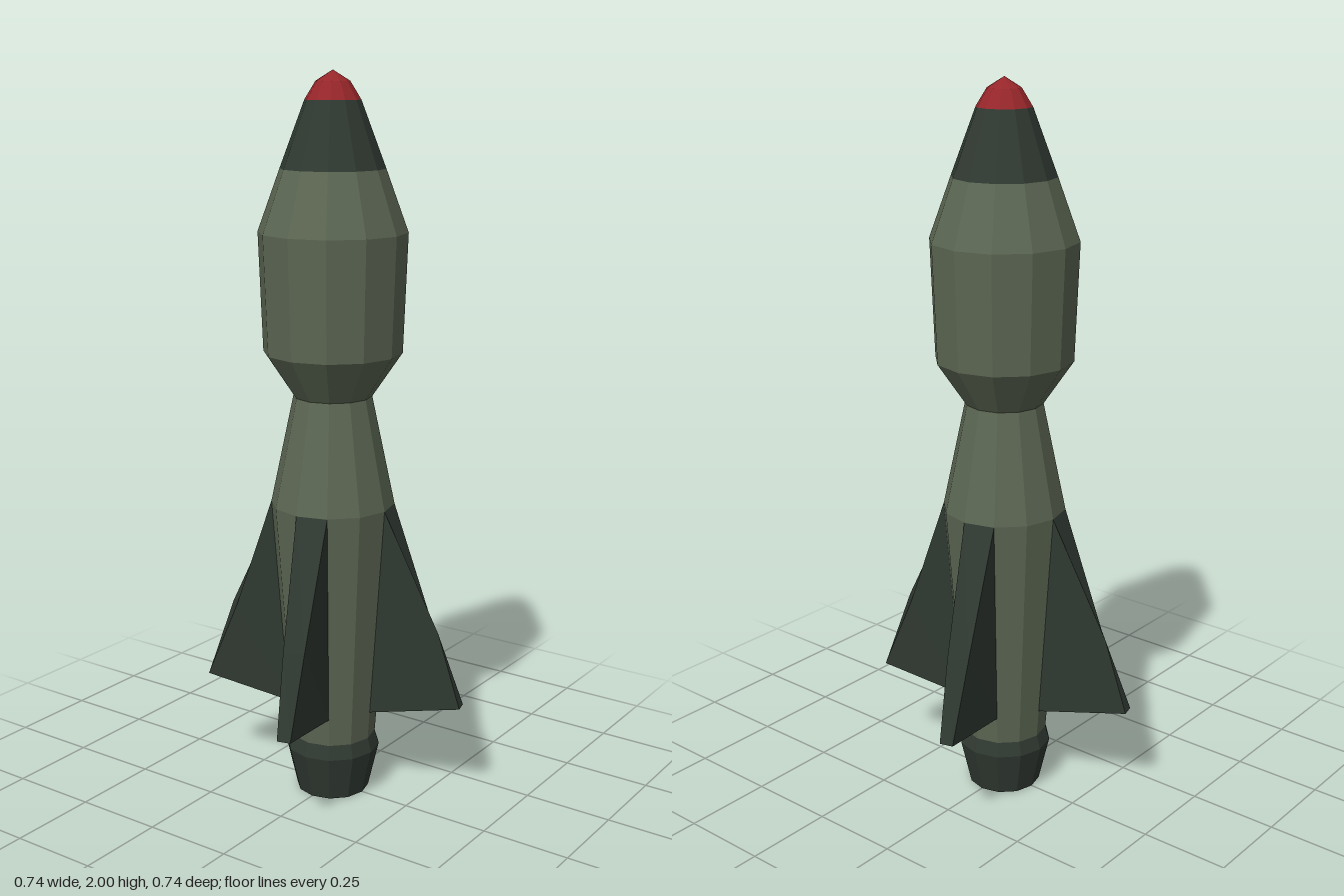
import * as THREE from 'three';

const flat = (name, color, side = THREE.FrontSide) => {
  const m = new THREE.MeshStandardMaterial({ color, flatShading: true, side });
  m.name = name;
  return m;
};

export function createModel() {
  const olive = flat('olive green', 0x5c6753);
  const dark = flat('dark green', 0x303932);
  const red = flat('red', 0x96262a);
  const group = new THREE.Group();

  // Twelve-sided turned part from [radius, height] pairs, bottom to top
  const turned = (name, material, profile) => {
    const pts = profile.map(([r, y]) => new THREE.Vector2(r, y));
    const mesh = new THREE.Mesh(new THREE.LatheGeometry(pts, 12), material);
    mesh.name = name;
    group.add(mesh);
  };

  // Nozzle with a recessed exhaust opening
  turned('nozzle', dark, [[0, 0.08], [0.045, 0.08], [0.065, 0], [0.102, 0], [0.132, 0.13], [0.12, 0.17]]);
  turned('tailBody', olive, [[0.12, 0.17], [0.17, 0.845], [0.107, 1.145]]);
  turned('warhead', olive, [[0.107, 1.145], [0.188, 1.265], [0.2, 1.585], [0.14, 1.75]]);
  turned('noseCone', dark, [[0.14, 1.75], [0.074, 1.925]]);
  turned('noseTip', red, [[0.074, 1.925], [0.045, 1.972], [0, 2]]);

  // Fin outline: height, then [distance out, half width] on each side
  const outline = [
    [0.845, [0.164, 0.044], [0.164, 0.044]],
    [0.51, [0.314, 0.025], [0.285, 0.025]],
    [0.292, [0.377, 0.019], [0.377, 0.019]],
    [0.25, [0.12, 0.0325], [0.12, 0.0325]],
  ];
  const positions = [];
  for (const [y, a, b] of outline) positions.push(a[0], y, a[1], b[0], y, -b[1]);
  const index = [];
  for (const [a, b, c] of [[0, 3, 1], [1, 3, 2]]) {
    index.push(2 * a, 2 * b, 2 * c, 2 * a + 1, 2 * c + 1, 2 * b + 1);
  }
  for (let i = 0; i < 3; i++) {
    const p = 2 * i, q = p + 2;
    index.push(p, q, q + 1, p, q + 1, p + 1);
  }
  const finGeometry = new THREE.BufferGeometry();
  finGeometry.setAttribute('position', new THREE.Float32BufferAttribute(positions, 3));
  finGeometry.setIndex(index);
  finGeometry.computeVertexNormals();

  // Four fins, each growing from one side of the tail
  ['leftFin', 'backFin', 'rightFin', 'frontFin'].forEach((name, i) => {
    const fin = new THREE.Mesh(finGeometry, dark);
    fin.name = name;
    fin.rotation.y = Math.PI / 12 + (i * Math.PI) / 2;
    group.add(fin);
  });

  return group;
}
